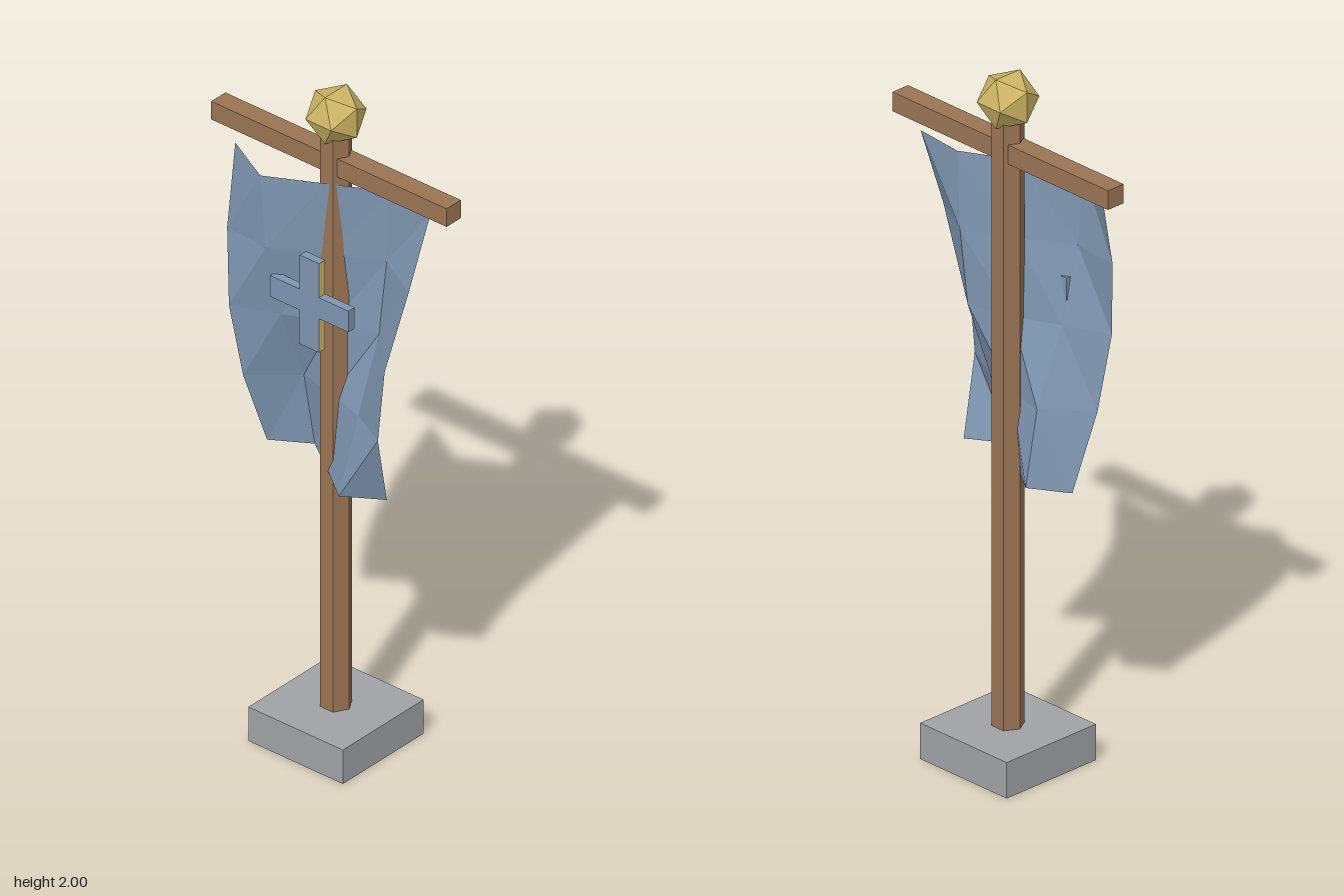
import * as THREE from 'three';

const mat = (name, color) => {
  const m = new THREE.MeshStandardMaterial({ color, flatShading: true });
  m.name = name;
  return m;
};

export function createModel() {
  const group = new THREE.Group();
  const wood = mat('wood', 0x9a7455);
  const stone = mat('stone', 0xa0a2a6);
  const gold = mat('gold', 0xccb465);
  const blue = mat('blue cloth', 0x7e95b0);
  const cloth = mat('banner cloth', 0x7e95b0);
  cloth.side = THREE.DoubleSide;

  const add = (name, geometry, material, x = 0, y = 0, z = 0) => {
    const mesh = new THREE.Mesh(geometry, material);
    mesh.name = name;
    mesh.position.set(x, y, z);
    group.add(mesh);
    return mesh;
  };

  // Stone foot, hexagonal pole and crossbar
  add('base', new THREE.BoxGeometry(0.325, 0.105, 0.325), stone, 0, 0.0525);
  const pole = new THREE.CylinderGeometry(0.045, 0.045, 1.88, 6).rotateY(Math.PI / 6);
  pole.rotateY(Math.PI / 3);
  add('pole', pole, wood, 0, 0.942);
  add('crossbar', new THREE.BoxGeometry(0.81, 0.056, 0.057), wood, 0, 1.787);

  // Faceted finial
  add('finial', new THREE.IcosahedronGeometry(0.084, 0).rotateX(Math.PI / 2), gold, 0, 1.9285);

  // Rippled banner, tapering downward: depth of each grid point, top row first
  const depth = [
    [0.045, 0.125, 0.045, -0.035, -0.02],
    [0.105, 0.117, 0.03, -0.037, 0.04],
    [0.125, 0.07, 0.015, -0.02, 0.11],
    [0.095, -0.01, 0.015, 0.05, 0.11],
    [0.026, -0.04, 0.035, 0.115, 0.047],
  ];
  const banner = new THREE.PlaneGeometry(2, 1, 4, 4);
  const p = banner.attributes.position;
  for (let r = 0; r < 5; r++) {
    const half = THREE.MathUtils.lerp(0.308, 0.215, r / 4);
    for (let c = 0; c < 5; c++) {
      p.setXYZ(r * 5 + c, half * (c / 2 - 1), 1.735 - r * 0.2225, depth[r][c]);
    }
  }
  banner.computeVertexNormals();
  add('banner', banner, cloth);

  // Cross emblem, the upright with one gilded side
  add('emblemUpright', new THREE.BoxGeometry(0.066, 0.275, 0.025),
    [gold, blue, blue, blue, blue, blue], 0, 1.3925, 0.095);
  for (const s of [-1, 1]) {
    add('emblemArm', new THREE.BoxGeometry(0.102, 0.065, 0.025), blue, s * 0.084, 1.3925, 0.095);
  }
  return group;
}
